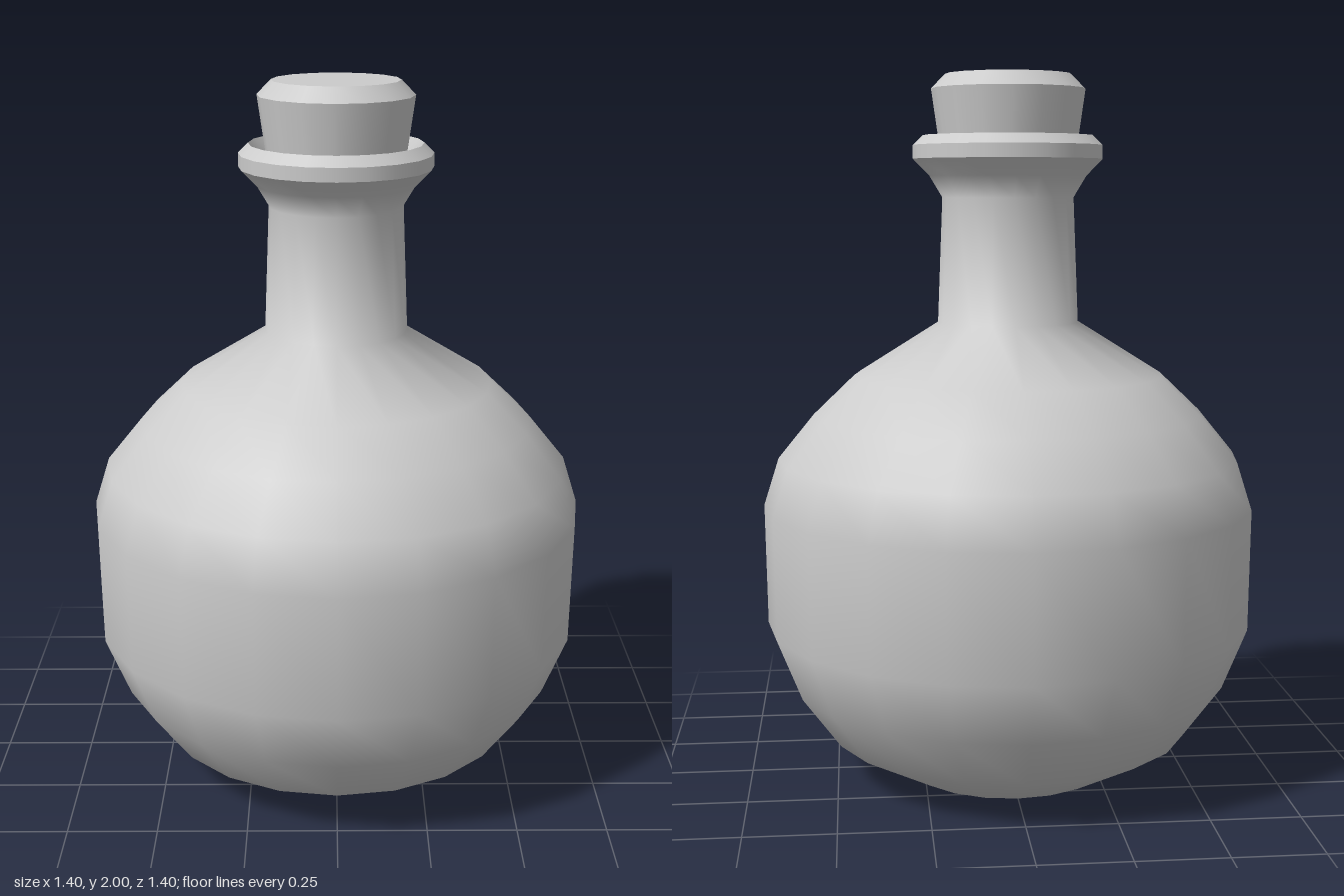
import * as THREE from 'three';

const material = new THREE.MeshStandardMaterial({ color: 0xcccccc });

// Each band is smooth in itself; the joints between bands stay sharp.
function turned(name, bands, sides, turn = 0) {
  const group = new THREE.Group();
  group.name = name;
  for (const [bandName, points] of Object.entries(bands)) {
    const profile = points.map(([r, y]) => new THREE.Vector2(r, y));
    const mesh = new THREE.Mesh(new THREE.LatheGeometry(profile, sides, turn), material);
    mesh.name = bandName;
    group.add(mesh);
  }
  return group;
}

export function createModel() {
  const model = new THREE.Group();
  model.name = 'corkedFlask';

  // Round body, neck and flared lip
  model.add(turned('flask', {
    bodyAndNeck: [
      [0, 0], [0.295, 0], [0.515, 0.12], [0.625, 0.27], [0.695, 0.445],
      [0.7, 0.79], [0.657, 0.925], [0.555, 1.05], [0.44, 1.16],
      [0.2, 1.31], [0.186, 1.66], [0.222, 1.72], [0.268, 1.767],
    ],
    lipEdge: [[0.268, 1.767], [0.268, 1.805]],
    lipBevel: [[0.268, 1.805], [0.24, 1.832]],
    lipInside: [[0.24, 1.832], [0.2, 1.77], [0.17, 1.7]],
  }, 20));

  // Tapered stopper, set slightly toward the back
  const stopper = turned('stopper', {
    stopperBottom: [[0, 1.68], [0.176, 1.68]],
    stopperSide: [[0.176, 1.68], [0.216, 1.96]],
    stopperBevel: [[0.216, 1.96], [0.177, 2]],
    stopperTop: [[0.177, 2], [0, 2]],
  }, 16, -0.04);
  stopper.position.z = -0.008;
  model.add(stopper);

  return model;
}
